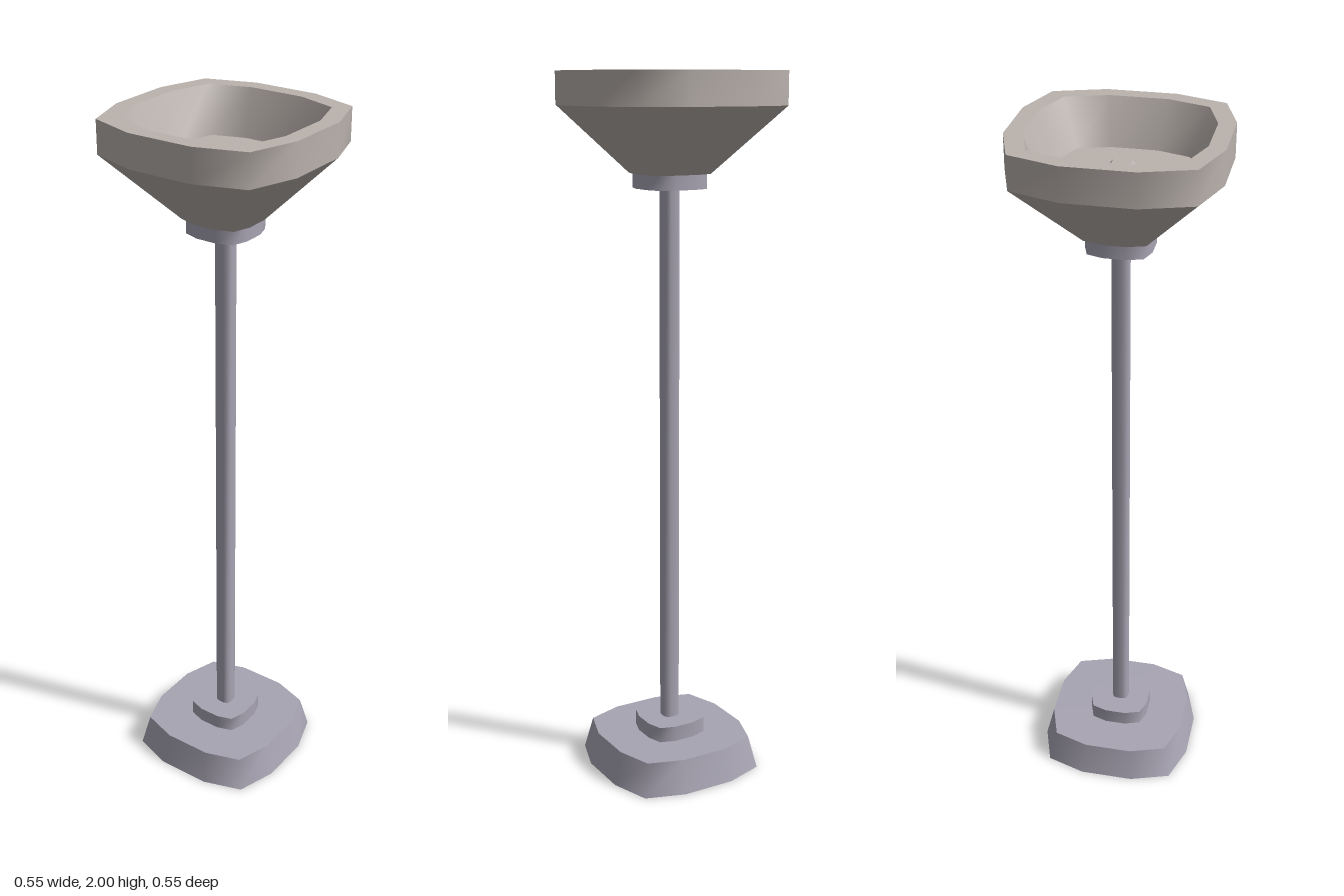
import * as THREE from 'three';
import { mergeGeometries } from 'three/addons/utils/BufferGeometryUtils.js';

// Twelve-sided outline of half width 1: flat sides with cut, pointed corners
function outline(mid, corner) {
  const side = [[-mid, 1], [mid, 1], [corner, corner]];
  const pts = [];
  for (let k = 0; k < 4; k++) {
    const c = Math.round(Math.cos(k * Math.PI / 2)), s = Math.round(Math.sin(k * Math.PI / 2));
    for (const [x, z] of side) pts.push([x * c + z * s, -x * s + z * c]);
  }
  return pts;
}

const ROUNDED = outline(0.34, 0.837);
const SQUARE = outline(0.5, 1);

// One band between two rings; smooth around, sharp at its rims
function band(shape, [r0, y0], [r1, y1]) {
  const n = shape.length, pos = [], idx = [];
  for (const [r, y] of [[r0, y0], [r1, y1]]) {
    for (const [x, z] of shape) pos.push(x * r, y, z * r);
  }
  for (let i = 0; i < n; i++) {
    const j = (i + 1) % n;
    if (r0 > 0) idx.push(i, j, n + j);
    if (r1 > 0) idx.push(i, n + j, n + i);
    else if (r0 > 0) idx[idx.length - 1] = n + i;
  }
  const g = new THREE.BufferGeometry();
  g.setAttribute('position', new THREE.Float32BufferAttribute(pos, 3));
  g.setIndex(idx);
  g.computeVertexNormals();
  return g;
}

// Stack of bands along a [half width, height] profile
function stack(name, material, profile, shape = ROUNDED) {
  const bands = [];
  for (let i = 0; i + 1 < profile.length; i++) bands.push(band(shape, profile[i], profile[i + 1]));
  const mesh = new THREE.Mesh(mergeGeometries(bands), material);
  mesh.name = name;
  return mesh;
}

export function createModel() {
  const metal = new THREE.MeshStandardMaterial({ color: 0xa8a4b3, side: THREE.DoubleSide });
  metal.name = 'greyMetal';
  const stone = new THREE.MeshStandardMaterial({ color: 0xbab2ad });
  stone.name = 'warmGrey';

  const group = new THREE.Group();
  group.name = 'floorLamp';

  group.add(
    // Hollow foot, open underneath
    stack('base', metal, [[0.226, 0], [0.203, 0.095], [0, 0.095]]),
    stack('lowerCollar', metal, [[0.088, 0.095], [0.088, 0.14], [0, 0.14]]),
    stack('pole', metal, [[0.024, 0.14], [0.024, 1.69]]),
    stack('upperCollar', metal, [[0, 1.69], [0.088, 1.69], [0.088, 1.73]]),
    // Flared bowl with a thick rim and a recessed floor
    stack('bowl', stone, [
      [0, 1.73], [0.097, 1.73], [0.273, 1.91], [0.273, 2],
      [0.228, 2], [0.178, 1.88], [0, 1.88],
    ]),
    // Small tapered bulb on the bowl floor
    stack('bulb', stone, [[0.046, 1.88], [0.024, 1.91], [0, 1.91]], SQUARE),
  );
  return group;
}
